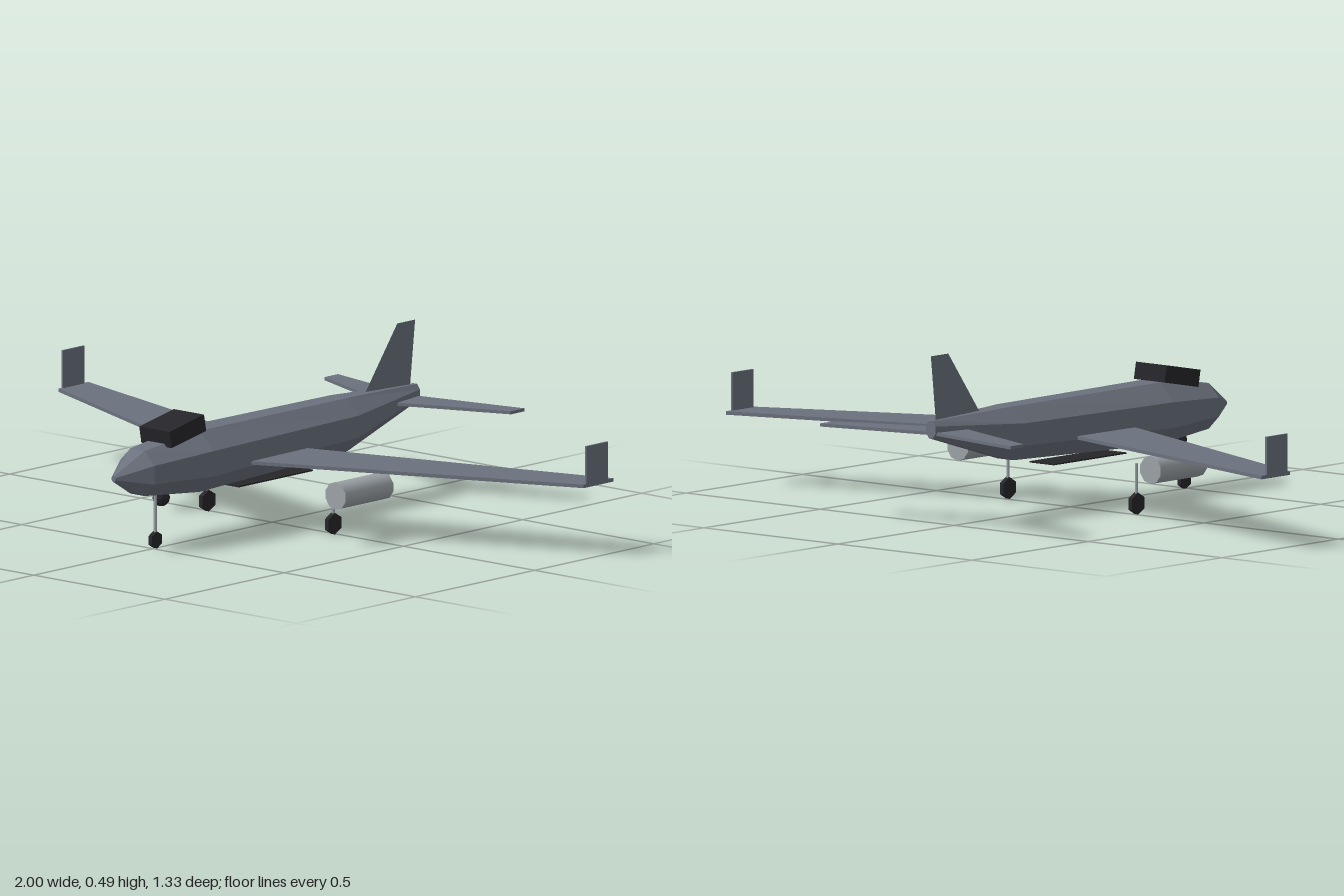
import * as THREE from 'three';

const paint = (name, color, extra = {}) => new THREE.MeshStandardMaterial({ name, color, ...extra });

export function createModel() {
  const model = new THREE.Group();
  model.name = 'aircraft';
  const body = paint('body grey', 0x6b717d);
  const finGrey = paint('fin grey', 0x6b717d, { side: THREE.DoubleSide });
  const metal = paint('engine grey', 0x9ca3a8);
  const black = paint('black', 0x26262a, { flatShading: true });

  const add = (name, geometry, material, x = 0, y = 0, z = 0) => {
    const mesh = new THREE.Mesh(geometry, material);
    mesh.name = name;
    mesh.position.set(x, y, z);
    model.add(mesh);
    return mesh;
  };

  // Flat horizontal panel from [x, z] corners
  const panel = (corners, side, thickness) => {
    const shape = new THREE.Shape(corners.map(([x, z]) => new THREE.Vector2(x * side, z)));
    return new THREE.ExtrudeGeometry(shape, { depth: thickness, bevelEnabled: false })
      .rotateX(Math.PI / 2).translate(0, thickness / 2, 0);
  };

  // Fuselage: eight-sided tube shaped by [z, centre y, half width, half height]
  const stations = [
    [0.665, 0.226, 0.008, 0.008],
    [0.565, 0.23, 0.065, 0.065],
    [0.345, 0.233, 0.09, 0.088],
    [-0.28, 0.242, 0.074, 0.077],
    [-0.6, 0.283, 0.018, 0.025],
  ];
  const rows = stations.length - 1;
  const tube = new THREE.CylinderGeometry(1, 1, 1, 8, rows)
    .rotateY(Math.PI / 8).rotateX(Math.PI / 2);
  const p = tube.attributes.position;
  const k = 1 / Math.cos(Math.PI / 8);
  for (let i = 0; i < p.count; i++) {
    const [z, cy, rx, ry] = stations[Math.round((0.5 - p.getZ(i)) * rows)];
    p.setXYZ(i, p.getX(i) * rx * k, cy + p.getY(i) * ry * k, z);
  }
  const fuselage = tube.toNonIndexed();
  fuselage.computeVertexNormals();
  add('fuselage', fuselage, body);

  // Paper-thin tail fin in the centre plane
  const fin = new THREE.Shape([[-0.385, 0.305], [-0.525, 0.492], [-0.6, 0.492], [-0.578, 0.3]]
    .map(([z, y]) => new THREE.Vector2(-z, y)));
  add('tailFin', new THREE.ShapeGeometry(fin).rotateY(Math.PI / 2), finGrey);

  // Sensor housing, turret and belly panel
  add('sensorHousing', new THREE.BoxGeometry(0.115, 0.049, 0.148), black, 0, 0.333, 0.417)
    .rotation.x = 0.19;
  add('sensorTurret', new THREE.SphereGeometry(0.025, 8, 6), black, 0, 0.142, 0.465);
  add('bellyPanel', new THREE.BoxGeometry(0.09, 0.004, 0.312), black, 0, 0.137, 0.033);

  // Landing gear leg: six-sided wheel with a strut above
  const gear = (name, x, z, r, top) => {
    const wheel = new THREE.CylinderGeometry(r, r, 0.014, 6)
      .rotateY(Math.PI / 6).rotateZ(Math.PI / 2);
    add(name + 'Wheel', wheel, black, x, r, z);
    const length = top - r;
    add(name + 'Strut', new THREE.CylinderGeometry(0.0045, 0.0045, length, 6), metal, x, r + length / 2, z);
  };
  gear('nose', 0, 0.49, 0.0245, 0.16);

  // Parts mirrored on both sides
  for (const side of [1, -1]) {
    const label = side > 0 ? 'left' : 'right';
    add(label + 'Wing',
      panel([[0.07, 0.187], [1, -0.206], [1, -0.33], [0.07, -0.058]], side, 0.01), body, 0, 0.21, 0);
    add(label + 'Winglet', new THREE.BoxGeometry(0.006, 0.115, 0.09), body, side * 0.997, 0.266, -0.262);
    add(label + 'Tailplane',
      panel([[0, -0.47], [0.355, -0.61], [0.355, -0.667], [0, -0.592]], side, 0.009), body, 0, 0.271, 0);
    add(label + 'Engine',
      new THREE.CylinderGeometry(0.04, 0.04, 0.2, 10).rotateX(Math.PI / 2), metal, side * 0.36, 0.145, 0.03);
    gear(label + 'Main', side * 0.24, 0.008, 0.031, 0.145);
  }
  return model;
}
